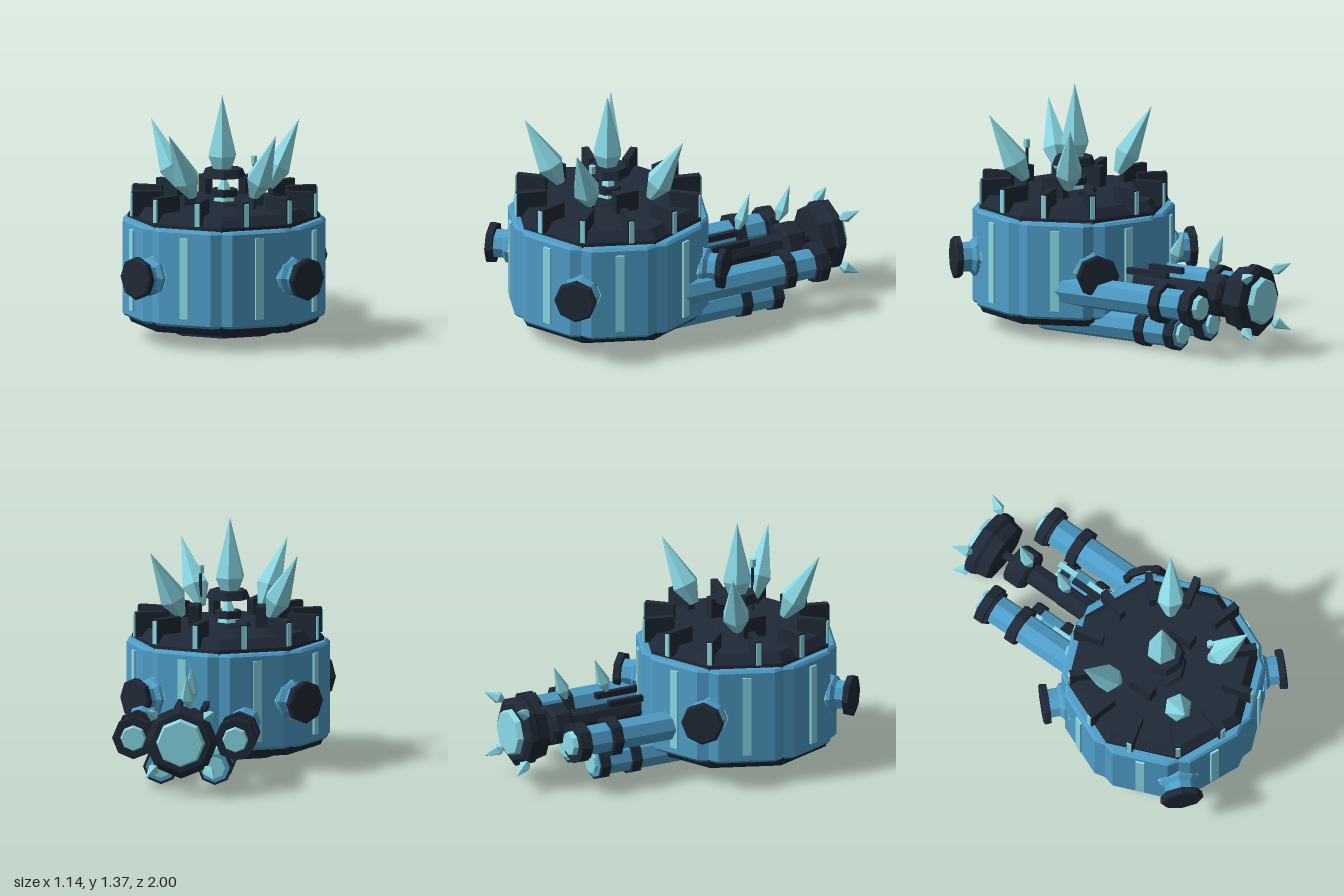
import * as THREE from 'three';

const mat = (color) => new THREE.MeshStandardMaterial({ color, flatShading: true, side: THREE.DoubleSide });
const BLUE = mat(0x4f9fca), DARK = mat(0x1f2937), ICE = mat(0x8adbe8);
const CZ = 0.43; // z of the body axis
const GX = 0.143, GY = 0.31; // axis of the main gun

export function createModel() {
  const root = new THREE.Group();

  const add = (parent, name, geo, material, x = 0, y = 0, z = 0) => {
    const m = new THREE.Mesh(geo, material);
    m.name = name;
    m.position.set(x, y, z);
    parent.add(m);
    return m;
  };
  const group = (parent, name, x = 0, y = 0, z = 0, turn = 0) => {
    const g = new THREE.Group();
    g.name = name;
    g.position.set(x, y, z);
    g.rotation.y = turn;
    parent.add(g);
    return g;
  };
  const box = (w, h, d) => new THREE.BoxGeometry(w, h, d);
  // turned part standing on y, from [radius, height] pairs
  const turned = (pts, sides = 8) => new THREE.LatheGeometry(pts.map(([r, h]) => new THREE.Vector2(r, h)), sides);
  // turned part lying along z, running backwards: heights become -z
  const lying = (pts, sides = 8) => turned(pts, sides).rotateX(-Math.PI / 2);
  const drum = (r, a, b) => [[0, a], [r, a], [r, b], [0, b]];
  // crystal spike from a base point to a tip
  const spike = (parent, name, base, tip, r, sides = 6) => {
    const a = new THREE.Vector3(...base), dir = new THREE.Vector3(...tip).sub(a), L = dir.length();
    const m = add(parent, name, turned([[0, 0], [r * 0.35, 0], [r, L * 0.28], [0, L]], sides), ICE, ...base);
    m.quaternion.setFromUnitVectors(new THREE.Vector3(0, 1, 0), dir.normalize());
    return m;
  };

  // ---- octagonal body ----
  const body = group(root, 'body', 0, 0, CZ);
  add(body, 'core', turned([[0, 0.085], [0.52, 0.085], [0.55, 0.14], [0.54, 0.68], [0.54, 0.7],
    [0.495, 0.755], [0, 0.755]]), DARK);
  add(body, 'basePlate', turned(drum(0.33, 0.042, 0.09)), DARK);

  // armour panel with chamfered sides, one per face
  const plan = new THREE.Shape([[-0.2, 0], [0.2, 0], [0.2, 0.035], [0.155, 0.068], [-0.155, 0.068], [-0.2, 0.035]]
    .map(([x, y]) => new THREE.Vector2(x, y)));
  const panelGeo = new THREE.ExtrudeGeometry(plan, {
    depth: 0.52, bevelEnabled: true, bevelSize: 0.013, bevelThickness: 0.015, bevelSegments: 1,
  });
  panelGeo.rotateX(-Math.PI / 2).scale(1, 1, -1);
  // mirrored geometry: restore the corner order
  const pos = panelGeo.attributes.position;
  for (let i = 0; i < pos.count; i += 3) {
    const b = new THREE.Vector3().fromBufferAttribute(pos, i + 1);
    const c = new THREE.Vector3().fromBufferAttribute(pos, i + 2);
    pos.setXYZ(i + 1, c.x, c.y, c.z);
    pos.setXYZ(i + 2, b.x, b.y, b.z);
  }
  panelGeo.computeVertexNormals();
  for (let i = 0; i < 8; i++) {
    const side = group(body, 'side', 0, 0, 0, (i + 0.5) * Math.PI / 4);
    add(side, 'panel', panelGeo, BLUE, 0, 0.145, 0.467);
    add(side, 'lightStrip', box(0.05, 0.46, 0.02), ICE, 0, 0.41, 0.55);
  }

  // round ports on the four diagonal corners
  for (let i = 0; i < 4; i++) {
    const port = group(body, 'port', 0, 0.405, 0, (i + 0.5) * Math.PI / 2 + Math.PI);
    add(port, 'collar', lying(drum(0.115, 0.48, 0.555)), ICE);
    add(port, 'neck', lying([[0.11, 0.5], [0.11, 0.575], [0.085, 0.595], [0.085, 0.66]]), BLUE);
    add(port, 'flange', lying([[0, 0.65], [0.118, 0.65], [0.122, 0.685], [0.11, 0.692], [0, 0.692]]), DARK);
  }

  // ---- top ----
  const top = group(root, 'top', 0, 0, CZ);
  for (let i = 0; i < 12; i++) {
    const fin = group(top, 'fin', 0, 0, 0, (i + 0.5) * Math.PI / 6);
    add(fin, 'blade', box(0.04, 0.14, 0.17), DARK, 0, 0.775, 0.445);
    add(fin, 'bladeLight', box(0.028, 0.13, 0.02), ICE, 0, 0.77, 0.528);
  }
  for (const s of [-1, 1]) {
    add(top, 'topBlock', box(0.06, 0.12, 0.14), DARK, s * 0.19, 0.81, 0);
    spike(top, 'rearCrystal', [s * 0.25, 0.83, -0.13], [s * 0.415, 1.2, -0.25], 0.08);
    spike(top, 'frontCrystal', [s * 0.17, 0.83, 0.21], [s * 0.30, 1.2, 0.37], 0.08);
  }
  add(top, 'crownBase', turned([[0, 0.75], [0.14, 0.75], [0.12, 0.775], [0, 0.775]]), DARK);
  add(top, 'crownCone', turned([[0.075, 0.75], [0.05, 0.82], [0, 0.93]], 6), ICE);
  add(top, 'crownRing', turned(drum(0.075, 0.8, 0.84)), DARK);
  add(top, 'crownCollar', turned([[0, 0.91], [0.125, 0.91], [0.105, 0.957], [0, 0.957]]), DARK);
  add(top, 'crownCrystal', turned([[0, 0.95], [0.055, 0.95], [0.088, 1.03], [0, 1.37]], 6), ICE, -0.01);
  add(top, 'antenna', turned(drum(0.01, 0.75, 1.03), 6), DARK, 0.173, 0, 0.2);
  add(top, 'antennaTip', turned(drum(0.02, 1.015, 1.06), 6), ICE, 0.173, 0, 0.2);

  // ---- gun cluster, pointing backwards ----
  const guns = group(root, 'guns', GX);
  for (const s of [-1, 1]) {
    const upper = group(guns, 'upperGun', s * 0.287, 0.295, 0);
    add(upper, 'barrel', lying(drum(0.088, -0.3, 0.66)), BLUE);
    add(upper, 'barrelRing', lying(drum(0.118, 0.425, 0.485)), DARK);
    add(upper, 'muzzle', lying([[0, 0.62], [0.108, 0.62], [0.108, 0.635], [0.12, 0.64], [0.12, 0.695], [0, 0.695]]), DARK);
    add(upper, 'muzzleLight', lying([[0, 0.69], [0.075, 0.69], [0.065, 0.722], [0, 0.722]]), ICE);

    const lower = group(guns, 'lowerGun', s * 0.152, 0.1, 0);
    add(lower, 'barrel', lying(drum(0.085, -CZ, 0.49)), BLUE);
    for (const z of [0.225, 0.425]) {
      add(lower, 'barrelRing', lying(drum(0.1, z, z + 0.06)), DARK);
      add(lower, 'ringLight', box(0.032, 0.03, 0.12), ICE, s * 0.014, 0.095, -z - 0.03);
    }
    add(lower, 'muzzleLight', lying(drum(0.06, 0.48, 0.51)), ICE);
    add(guns, 'rail', box(0.03, 0.035, 0.42), DARK, s * 0.075, 0.4, -0.14);
  }

  // heavy centre gun
  const main = group(guns, 'mainGun', 0, GY, 0);
  add(main, 'shaft', lying(drum(0.065, 0, 0.6)), DARK);
  add(main, 'sleeve', lying([[0, 0.58], [0.1, 0.58], [0.122, 0.6], [0.122, 0.69], [0.1, 0.71], [0, 0.71]]), DARK);
  add(main, 'rod', lying(drum(0.025, 0.7, 0.8)), DARK);
  add(main, 'head', lying([[0, 0.775], [0.175, 0.775], [0.188, 0.84], [0.205, 0.86], [0.205, 0.905],
    [0.17, 0.925], [0, 0.925]]), DARK);
  add(main, 'headLight', lying([[0, 0.92], [0.14, 0.92], [0.125, 0.955], [0, 0.955]]), ICE);
  for (const sx of [-1, 1]) for (const sy of [-1, 1]) {
    spike(main, 'headSpike', [sx * 0.14, sy * 0.14, -0.9], [sx * 0.192, sy * 0.192, -1], 0.035, 5);
  }
  // crystals floating above the shaft
  for (const z of [-0.325, -0.585]) {
    spike(main, 'floatingCrystal', [-0.01, 0.145, z], [-0.01, 0.345, z - 0.078], 0.042, 5);
  }
  return root;
}
